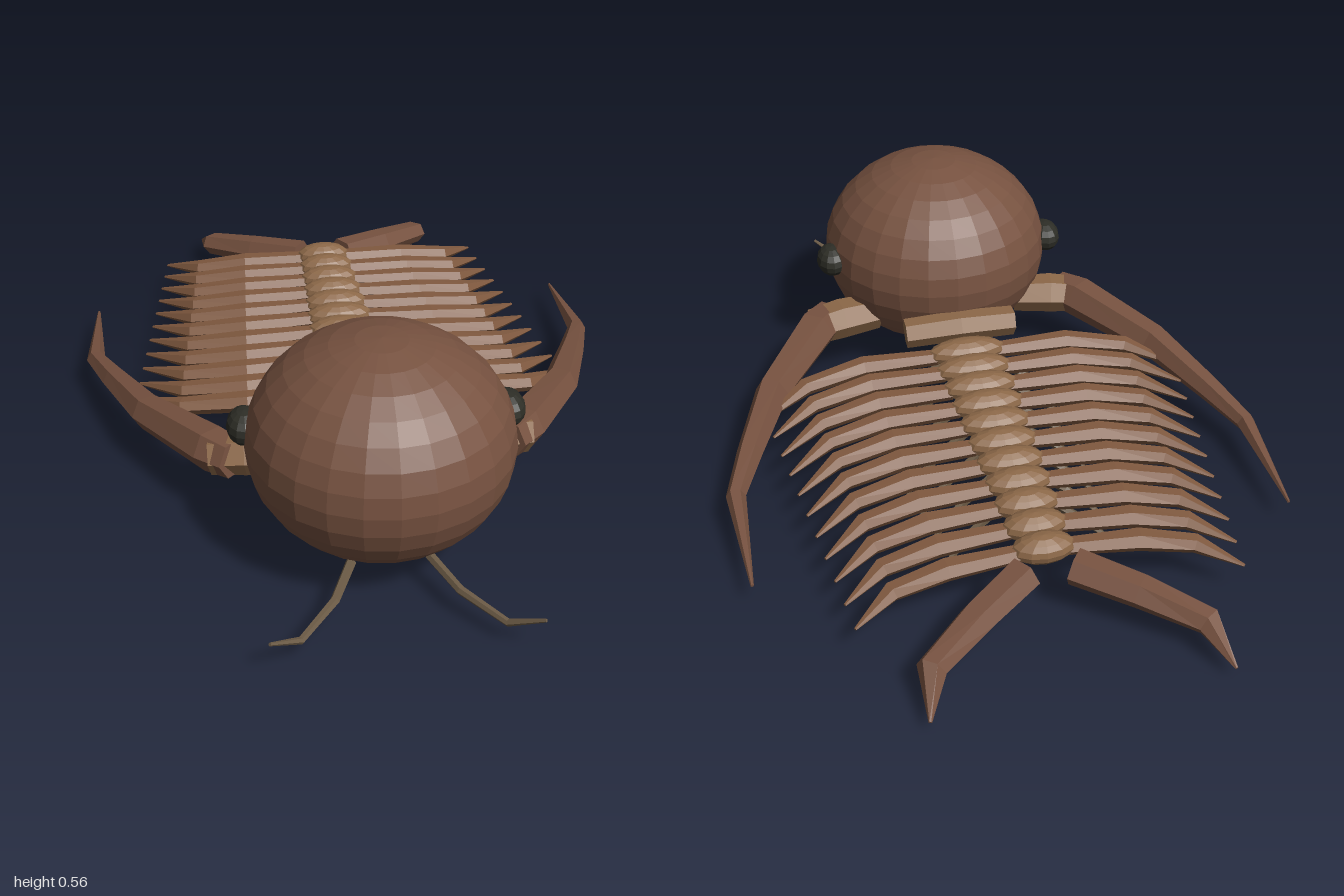
import * as THREE from 'three';

const mat = (color) => new THREE.MeshStandardMaterial({ color, flatShading: true });

// Tapered, faceted limb through stations [x, y, z, radius]; flat squashes its height
function limb(stations, sides = 6, flat = 1) {
  const P = stations.map(([x, y, z]) => new THREE.Vector3(x, y, z));
  const up = new THREE.Vector3(0, 1, 0);
  const pos = [], idx = [], last = P.length - 1;
  P.forEach((p, i) => {
    const t = P[Math.min(i + 1, last)].clone().sub(P[Math.max(i - 1, 0)]).normalize();
    const side = t.clone().cross(up).normalize();
    const n = t.clone().cross(side);
    for (let k = 0; k < sides; k++) {
      const a = (k / sides) * Math.PI * 2, r = stations[i][3];
      const v = p.clone().addScaledVector(side, Math.cos(a) * r).addScaledVector(n, Math.sin(a) * r * flat);
      pos.push(v.x, v.y, v.z);
    }
  });
  const c0 = pos.length / 3;
  pos.push(...P[0].toArray(), ...P[last].toArray());
  for (let k = 0; k < sides; k++) {
    const m = (k + 1) % sides;
    for (let i = 0; i < last; i++) {
      const a = i * sides + k, b = i * sides + m;
      idx.push(a, b, b + sides, a, b + sides, a + sides);
    }
    idx.push(c0, m, k, c0 + 1, last * sides + k, last * sides + m);
  }
  const g = new THREE.BufferGeometry();
  g.setAttribute('position', new THREE.Float32BufferAttribute(pos, 3));
  g.setIndex(idx);
  const out = g.toNonIndexed();
  out.computeVertexNormals();
  return out;
}

export function createModel() {
  const model = new THREE.Group();
  const shell = mat(0x775240), ribMat = mat(0x80593f), axisMat = mat(0x8c6848);
  const legMat = mat(0x6b5a45), eyeMat = mat(0x2d2d26);
  const lerp = THREE.MathUtils.lerp;

  const add = (name, geometry, material) => {
    const m = new THREE.Mesh(geometry, material);
    m.name = name;
    model.add(m);
    return m;
  };
  const ellipsoid = (name, material, p, r, ws, hs) => {
    const m = add(name, new THREE.SphereGeometry(1, ws, hs), material);
    m.position.set(...p);
    m.scale.set(...r);
    return m;
  };
  // Same limb on both sides of the body
  const pair = (name, material, stations, sides, flat) => {
    for (const s of [1, -1]) {
      const pts = stations.map(([x, y, z, r]) => [x * s, y, z, r]);
      add((s > 0 ? 'left' : 'right') + name, limb(pts, sides, flat), material);
    }
  };

  // Head, eyes and neck band
  ellipsoid('head', shell, [0, 0.3, 0.56], [0.312, 0.265, 0.312], 24, 16);
  for (const s of [1, -1]) {
    ellipsoid(s > 0 ? 'leftEye' : 'rightEye', eyeMat, [0.307 * s, 0.317, 0.497], [0.042, 0.042, 0.057], 12, 8);
  }
  add('neckBand', limb([[-0.15, 0.205, 0.245, 0.04], [0, 0.212, 0.24, 0.042], [0.15, 0.205, 0.245, 0.04]]), axisMat);

  // Long cheek spines sweeping back from the head
  pair('CheekSpineRoot', axisMat, [[0.2, 0.18, 0.42, 0.05], [0.3, 0.178, 0.405, 0.055], [0.385, 0.17, 0.39, 0.05]]);
  pair('CheekSpine', shell, [
    [0.33, 0.176, 0.425, 0.05], [0.38, 0.172, 0.37, 0.057], [0.53, 0.142, 0.145, 0.046],
    [0.615, 0.113, -0.065, 0.034], [0.668, 0.092, -0.21, 0.025], [0.665, 0.065, -0.515, 0.004],
  ]);

  // Antennae under the front of the head
  pair('Antenna', legMat, [
    [0.09, 0.085, 0.73, 0.012], [0.14, 0.07, 0.84, 0.011], [0.225, 0.058, 0.945, 0.009], [0.295, 0.1, 0.996, 0.004],
  ]);

  // Body rings, each with a pair of ribs, shrinking toward the tail
  const rings = 11;
  for (let i = 0; i < rings; i++) {
    const f = i / (rings - 1);
    const z = lerp(0.156, -0.632, f), y = lerp(0.183, 0.148, f);
    const w = lerp(0.107, 0.077, f), reach = lerp(0.56, 0.46, f);
    ellipsoid('bodyRing' + (i + 1), axisMat, [0, y, z], [w, 0.037, 0.044], 12, 8);
    pair('Rib' + (i + 1), ribMat, [
      [w * 0.75, y - 0.008, z, 0.024],
      [reach * 0.5, y - 0.015, z + lerp(0.012, -0.008, f), 0.031],
      [reach * 0.79, y - 0.035, z + lerp(-0.018, -0.03, f), 0.026],
      [reach, y - 0.06, z - 0.105, 0.004],
    ], 6, 0.85);
  }

  // Walking legs beneath the body
  for (let i = 0; i < 7; i++) {
    const f = i / 6, z = lerp(0.11, -0.52, f), k = lerp(1, 0.85, f);
    pair('Leg' + (i + 1), legMat, [
      [0.04, 0.15, z + 0.075, 0.012], [0.15 * k, 0.085, z + 0.055, 0.011],
      [0.21 * k, 0.05, z + 0.03, 0.009], [0.26 * k, 0.008, z, 0.004],
    ], 5);
  }

  // Forked tail blades
  pair('TailBlade', shell, [
    [0.06, 0.123, -0.685, 0.048], [0.19, 0.103, -0.78, 0.044], [0.318, 0.078, -0.885, 0.036], [0.345, 0.035, -0.997, 0.004],
  ], 6, 0.9);

  return model;
}
